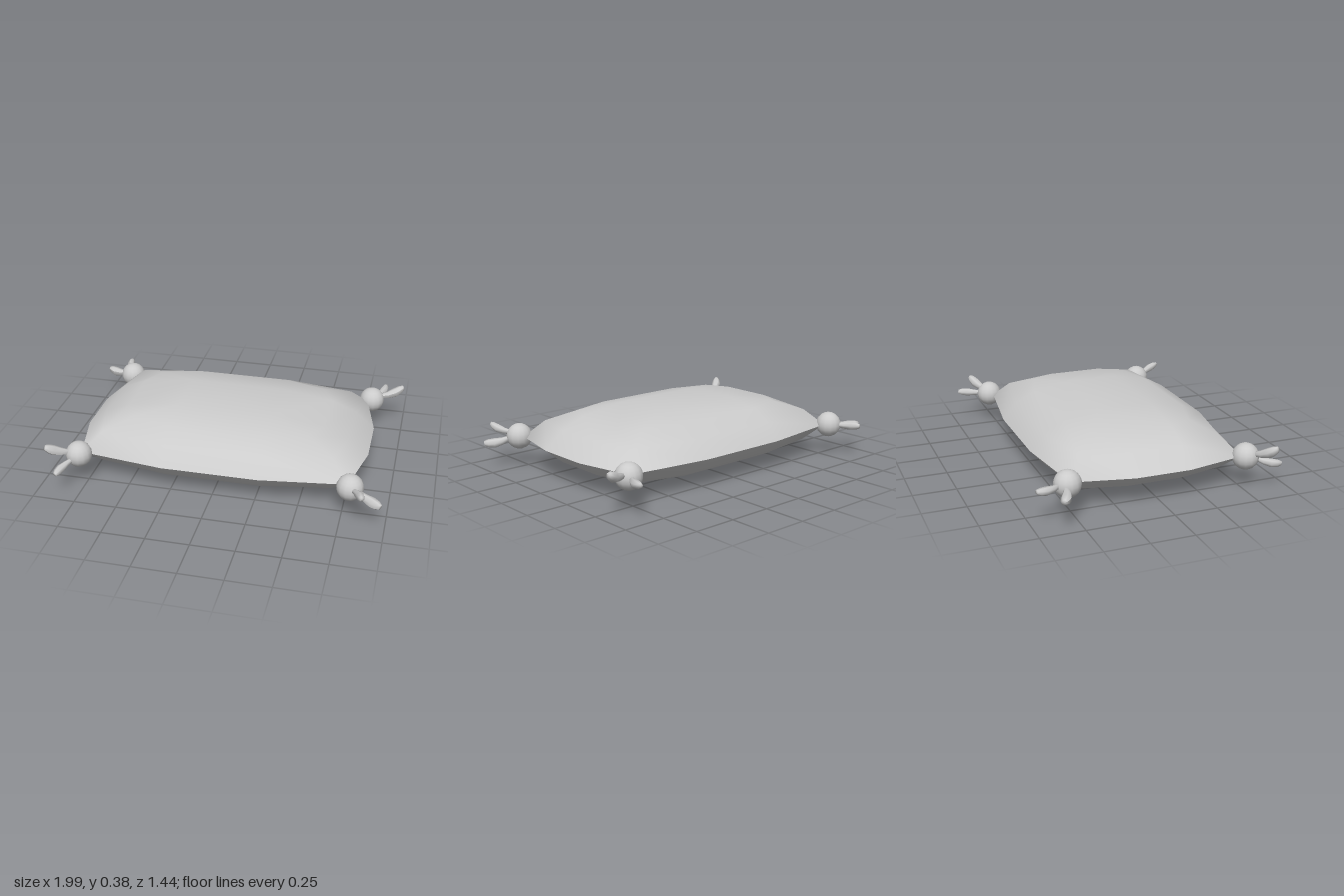
import * as THREE from 'three';
import { mergeVertices } from 'three/addons/utils/BufferGeometryUtils.js';

const material = new THREE.MeshStandardMaterial({ color: 0xcccccc });
const SEAM_Y = 0.18;

// Rings from seam to crown: height, half width, half depth, corner x, corner z
const RINGS = [
  [0, 0.855, 0.573, 0.78, 0.505],
  [0.1, 0.74, 0.49, 0.68, 0.42],
  [0.16, 0.59, 0.37, 0.52, 0.3],
  [0.2, 0.28, 0.16, 0.28, 0.16],
  [0.2, 0, 0, 0, 0],
];

// Twelve points round one rounded rectangle
function ringPoints([h, w, d, cx, cz]) {
  const mx = Math.min(0.28, w), mz = Math.min(0.16, d);
  const half = [[w, mz], [cx, cz], [mx, d], [-mx, d], [-cx, cz], [-w, mz]];
  return [...half, ...half.map(([x, z]) => [-x, -z])].map(([x, z]) => [x, h, z]);
}

// One half of the cushion; the seam between the halves stays sharp
function cushionHalf(name, heightScale) {
  const n = 12, positions = [], index = [];
  for (const ring of RINGS)
    for (const [x, h, z] of ringPoints(ring)) positions.push(x, h * heightScale, z);
  for (let r = 0; r < RINGS.length - 1; r++)
    for (let i = 0; i < n; i++) {
      const j = (i + 1) % n;
      const a = r * n + i, b = r * n + j, c = b + n, d = a + n;
      if (heightScale > 0) index.push(a, d, c, a, c, b);
      else index.push(a, c, d, a, b, c);
    }
  let geo = new THREE.BufferGeometry();
  geo.setAttribute('position', new THREE.Float32BufferAttribute(positions, 3));
  geo.setIndex(index);
  geo = mergeVertices(geo);
  geo.computeVertexNormals();
  const mesh = new THREE.Mesh(geo, material);
  mesh.name = name;
  mesh.position.set(-0.004, SEAM_Y, -0.004);
  return mesh;
}

// A blunt tassel strand from start to tip, bowed sideways by bend
function strand(start, tip, radius, bend) {
  const profile = [[0, 0], [0.5, 0], [0.75, 0.3], [1, 0.62], [0.85, 0.85], [0.5, 1], [0, 1]]
    .map(([r, t]) => new THREE.Vector2(r * radius, t));
  const geo = new THREE.LatheGeometry(profile, 7);
  const dir = tip.clone().sub(start);
  geo.scale(1, dir.length(), 1);
  const pos = geo.attributes.position;
  for (let i = 0; i < pos.count; i++) {
    const t = pos.getY(i) / dir.length();
    pos.setX(i, pos.getX(i) + bend * Math.sin(Math.PI * t));
  }
  geo.computeVertexNormals();
  const mesh = new THREE.Mesh(geo, material);
  mesh.name = 'tasselStrand';
  mesh.position.copy(start);
  mesh.quaternion.setFromUnitVectors(new THREE.Vector3(0, 1, 0), dir.normalize());
  return mesh;
}

// Corner knobs, each with an outer and an inner strand tip
const CORNERS = [
  { name: 'frontLeftTassel', knob: [0.79, 0.182, 0.525], outer: [0.97, 0.145, 0.63], inner: [0.87, 0.235, 0.71] },
  { name: 'frontRightTassel', knob: [-0.79, 0.182, 0.525], outer: [-0.95, 0.265, 0.635], inner: [-0.87, 0.14, 0.71] },
  { name: 'backLeftTassel', knob: [0.8, 0.185, -0.53], outer: [0.99, 0.25, -0.61], inner: [0.875, 0.195, -0.72] },
  { name: 'backRightTassel', knob: [-0.8, 0.185, -0.53], outer: [-0.99, 0.17, -0.61], inner: [-0.87, 0.195, -0.72] },
];

function tassel({ name, knob, outer, inner }) {
  const group = new THREE.Group();
  group.name = name;
  const centre = new THREE.Vector3(...knob);
  const ball = new THREE.Mesh(new THREE.SphereGeometry(0.077, 14, 10), material);
  ball.name = 'tasselKnob';
  ball.position.copy(centre);
  group.add(ball);
  [[outer, 0.03], [inner, 0.025]].forEach(([end, radius]) => {
    const tip = new THREE.Vector3(...end);
    const start = centre.clone().lerp(tip, 0.28);
    group.add(strand(start, tip, radius, Math.sign(knob[0]) * 0.012));
  });
  return group;
}

export function createModel() {
  const model = new THREE.Group();
  model.name = 'tasselledCushion';
  model.add(cushionHalf('cushionTop', 1), cushionHalf('cushionBottom', -0.9));
  for (const corner of CORNERS) model.add(tassel(corner));
  return model;
}
